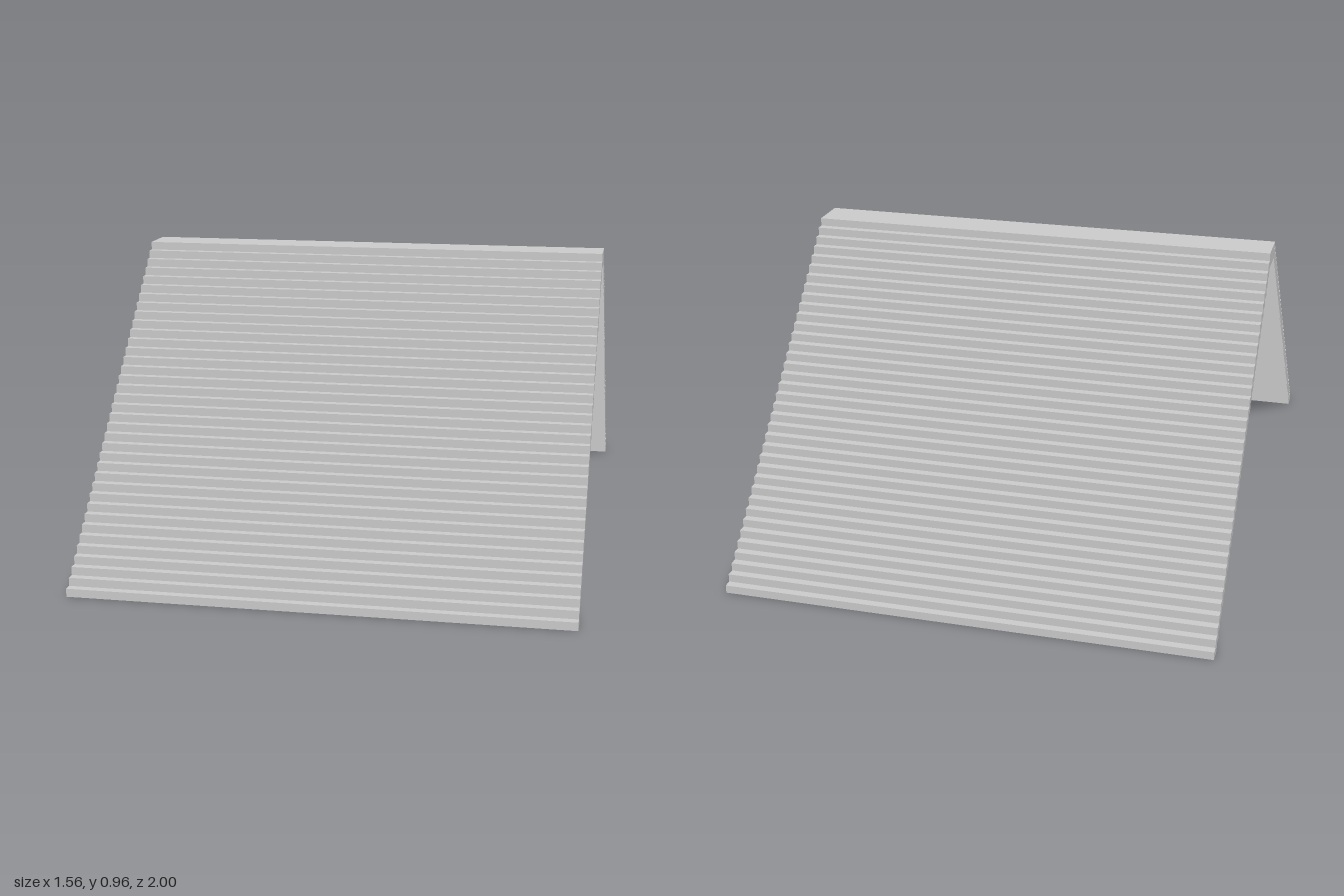
import * as THREE from 'three';

export function createModel() {
  const U = 2 / 77;            // module size: every part is a whole number of units
  const STEPS = 36;            // slats per roof slope
  const LENGTH = 60 * U;
  const material = new THREE.MeshStandardMaterial({ color: 0xcccccc, flatShading: true });
  const model = new THREE.Group();
  model.name = 'gableRoof';

  const add = (parent, name, geometry, y, z) => {
    const mesh = new THREE.Mesh(geometry, material);
    mesh.name = name;
    mesh.position.set(0, y, z);
    parent.add(mesh);
  };

  // Two slopes of overlapping slats, each one unit higher and further in
  const slat = new THREE.BoxGeometry(LENGTH, U, 2 * U);
  for (const [side, name] of [[1, 'frontSlope'], [-1, 'backSlope']]) {
    const slope = new THREE.Group();
    slope.name = name;
    for (let i = 0; i < STEPS; i++) {
      add(slope, 'slat', slat, (i + 0.5) * U, side * (1 - (i + 1) * U));
    }
    model.add(slope);
  }

  // Ridge beam capping both slopes
  add(model, 'ridgeBeam', new THREE.BoxGeometry(LENGTH, 2 * U, 5 * U), STEPS * U, 0);

  // Central post with a cross-shaped section
  const a = 0.5 * U, b = 1.5 * U;
  const cross = new THREE.Shape([
    [b, -a], [b, a], [a, a], [a, b], [-a, b], [-a, a],
    [-b, a], [-b, -a], [-a, -a], [-a, -b], [a, -b], [a, -a],
  ].map(([x, y]) => new THREE.Vector2(x, y)));
  const post = new THREE.ExtrudeGeometry(cross, { depth: (STEPS - 1) * U, bevelEnabled: false });
  post.rotateX(-Math.PI / 2);
  add(model, 'centralPost', post, 0, 0);

  return model;
}
